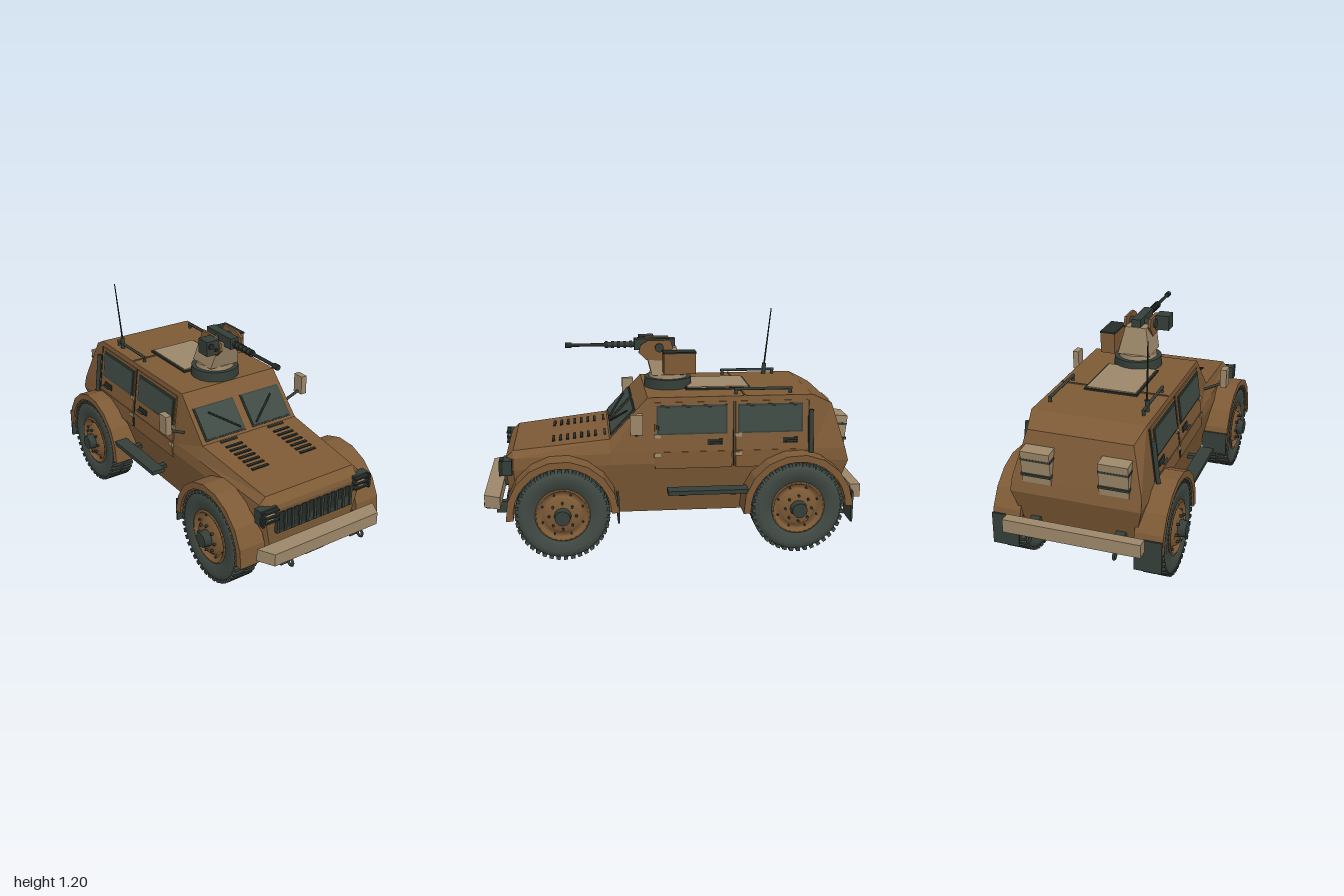
import * as THREE from 'three';

const mat = (name, color) => Object.assign(new THREE.MeshStandardMaterial({ color }), { name });

export function createModel() {
  const root = new THREE.Group();
  root.name = 'armouredPatrolCar';
  const brown = mat('desert brown', 0x7d5a36);
  const tan = mat('tan', 0x9c8769);
  const dark = mat('dark green grey', 0x353e38);
  const glass = mat('window glass', 0x3f4a44);
  const rubber = mat('tyre rubber', 0x414a44);
  const black = mat('gunmetal', 0x262c28);

  const add = (name, geo, m, x = 0, y = 0, z = 0, rx = 0, ry = 0, rz = 0, parent = root) => {
    const mesh = new THREE.Mesh(geo, m);
    mesh.name = name;
    mesh.position.set(x, y, z);
    mesh.rotation.set(rx, ry, rz);
    parent.add(mesh);
    return mesh;
  };
  const box = (name, m, w, h, d, ...place) => add(name, new THREE.BoxGeometry(w, h, d), m, ...place);
  const cyl = (r0, r1, h, n = 16) => new THREE.CylinderGeometry(r0, r1, h, n);
  const rod = (name, m, a, b, r, r2 = r, n = 8) => {
    const p = new THREE.Vector3(...a), q = new THREE.Vector3(...b), dir = q.clone().sub(p);
    const mesh = add(name, cyl(r2, r, dir.length(), n), m);
    mesh.position.copy(p).add(q).multiplyScalar(0.5);
    mesh.quaternion.setFromUnitVectors(new THREE.Vector3(0, 1, 0), dir.normalize());
  };
  // Extrude a (z, y) outline across the width, from x0 to x1
  const acrossX = (pts, x0, x1) => {
    const g = new THREE.ExtrudeGeometry(new THREE.Shape(pts.map(p => new THREE.Vector2(...p))),
      { depth: x1 - x0, bevelEnabled: false });
    return g.rotateY(-Math.PI / 2).translate(x1, 0, 0);
  };

  // Hull: rings from nose to tail; each lists bottom, waist, shoulder and top as [x, y, z]
  const rings = [
    [[.26, .28, .865], [.29, .42, .875], [.285, .49, .885], [.27, .515, .88]],
    [[.28, .205, .82], [.315, .46, .84], [.31, .52, .84], [.275, .555, .84]],
    [[.28, .2, .34], [.335, .48, .34], [.33, .54, .34], [.3, .61, .34]],
    [[.28, .2, .14], [.335, .48, .14], [.33, .54, .14], [.295, .825, .14]],
    [[.28, .2, -.73], [.335, .48, -.73], [.33, .54, -.73], [.295, .825, -.73]],
    [[.28, .25, -.86], [.335, .47, -.925], [.33, .54, -.907], [.27, .77, -.84]],
  ].map(r => [...r, ...r.map(([x, y, z]) => [-x, y, z]).reverse()]);
  const verts = [];
  const quad = (a, b, c, d) => verts.push(...a, ...b, ...c, ...a, ...c, ...d);
  for (let i = 0; i < rings.length - 1; i++) {
    for (let k = 0; k < 8; k++) {
      const n = (k + 1) % 8;
      quad(rings[i][k], rings[i + 1][k], rings[i + 1][n], rings[i][n]);
    }
  }
  const nose = rings[0], tail = rings[rings.length - 1];
  for (let k = 0; k < 3; k++) {
    quad(nose[k], nose[k + 1], nose[6 - k], nose[7 - k]);
    quad(tail[7 - k], tail[6 - k], tail[k + 1], tail[k]);
  }
  const hull = new THREE.BufferGeometry();
  hull.setAttribute('position', new THREE.Float32BufferAttribute(verts, 3));
  hull.computeVertexNormals();
  add('hull', hull, brown);

  // Wheels: tyre turned around the axle, tread lugs, rim, hub and bolts
  const tyreGeo = new THREE.LatheGeometry([[.14, -.06], [.2, -.068], [.228, -.062], [.236, -.045], [.236, .045],
    [.228, .062], [.2, .068], [.14, .06], [.135, .03], [.135, -.05], [.14, -.06]].map(p => new THREE.Vector2(...p)), 40);
  const rimGeo = new THREE.LatheGeometry([[0, -.02], [.14, -.02], [.142, .062], [.13, .066], [.122, .045],
    [.1, .045], [.085, .07], [0, .075]].map(p => new THREE.Vector2(...p)), 32);
  const wheel = (s, z) => {
    const g = new THREE.Group();
    g.name = 'wheel';
    g.position.set(s * .368, .246, z);
    g.rotation.z = -s * Math.PI / 2;
    root.add(g);
    add('tyre', tyreGeo, rubber, 0, 0, 0, 0, 0, 0, g);
    add('rim', rimGeo, brown, 0, 0, 0, 0, 0, 0, g).material.side = THREE.DoubleSide;
    for (let i = 0; i < 40; i++) {
      for (const side of [-1, 1]) {
        const a = (i + side * .25) * Math.PI / 20;
        box('treadLug', rubber, .018, .06, .021, Math.cos(a) * .235, side * .037, -Math.sin(a) * .235, 0, a, 0, g);
      }
    }
    add('hub', cyl(.04, .046, .05, 12), dark, 0, .088, 0, 0, 0, 0, g);
    for (let i = 0; i < 8; i++) {
      const a = i * Math.PI / 4;
      add('bolt', cyl(.007, .007, .014, 6), dark, Math.cos(a) * .07, .078, Math.sin(a) * .07, 0, 0, 0, g);
      add('rimBolt', cyl(.006, .006, .012, 6), dark, Math.cos(a + .4) * .112, .048, Math.sin(a + .4) * .112, 0, 0, 0, g);
    }
  };

  // Arched wheel guard outline around a wheel at z
  const archPts = z => {
    const arc = (r, n, a) => Array.from({ length: n + 1 }, (_, i) =>
      [z + Math.cos(a(i / n)) * r, .247 + Math.sin(a(i / n)) * r]);
    return [...arc(.29, 9, t => -.08 + t * (Math.PI + .06)), ...arc(.252, 16, t => Math.PI - .02 - t * (Math.PI + .06))];
  };
  const wallX = y => .33 - .035 * (y - .54) / .285;
  const tilt = .122;

  for (const s of [-1, 1]) {
    const [lo, hi] = s > 0 ? [.295, .44] : [-.44, -.295];
    for (const z of [.59, -.64]) {
      wheel(s, z);
      add('wheelGuard', acrossX(archPts(z), lo, hi), brown);
    }
    box('mudFlap', dark, .14, .13, .01, s * .37, .26, .302);
    box('mudFlap', dark, .14, .17, .01, s * .37, .245, -.928);

    // Doors, windows and handles on the leaning side walls
    const plate = (name, m, z0, z1, y0, y1, off, t) => {
      const y = (y0 + y1) / 2;
      box(name, m, t, y1 - y0, z1 - z0, s * (wallX(y) + off), y, (z0 + z1) / 2, 0, 0, s * tilt);
    };
    for (const [z0, z1] of [[-.3, .105], [-.7, -.32]]) {
      plate('door', brown, z0, z1, .54, .8, 0, .014);
      box('doorLower', brown, .014, .09, z1 - z0, s * .333, .497, (z0 + z1) / 2);
      plate('windowFrame', dark, z0 + .025, z1 - .01, .632, .785, .007, .008);
      plate('sideWindow', glass, z0 + .035, z1 - .02, .642, .775, .011, .008);
      plate('handlePlate', black, z0 + .05, z0 + .13, .575, .605, .006, .014);
      rod('doorHandle', dark, [s * .352, .59, z0 + .06], [s * .352, .59, z0 + .12], .006);
      for (const y of [.515, .615]) plate('hinge', tan, z1 - .03, z1 + .005, y, y + .02, .008, .012);
      plate('doorSeam', black, z0 - .012, z0 - .006, .46, .8, .002, .008);
    }
    rod('grabRail', dark, [s * .352, .525, -.718], [s * .325, .75, -.718], .012);

    // Side step with brackets
    box('sideStep', dark, .075, .022, .42, s * .392, .345, -.165);
    for (const z of [-.3, -.03]) box('stepBracket', dark, .1, .02, .03, s * .345, .328, z);

    // Mirror
    box('mirror', tan, .034, .105, .065, s * .438, .722, .207);
    rod('mirrorArm', dark, [s * .325, .635, .2], [s * .43, .685, .21], .008);

    // Windscreen pane, wiper and vent
    const slope = -.749;
    box('windscreenFrame', dark, .25, .186, .008, s * .148, .69, .268, slope);
    box('windscreen', glass, .236, .172, .008, s * .148, .693, .271, slope);
    rod('wiper', black, [s * .05, .645, .327], [s * .2, .735, .243], .005);
    box('cowlVent', dark, .1, .025, .012, s * .152, .603, .36, .11);
    for (let i = 0; i < 7; i++) {
      const z = .41 + i * .037;
      box('bonnetLouvre', black, .1, .012, .014, s * .152, .555 + (.84 - z) * .11, z, .11);
    }

    // Headlamp with guard bars
    box('headlampHousing', dark, .1, .08, .045, s * .29, .478, .868);
    add('headlamp', cyl(.027, .027, .015, 16), tan, s * .285, .478, .893, Math.PI / 2);
    for (const y of [.452, .478, .507]) box('headlampBar', black, .1, .009, .02, s * .29, y, .902);
    box('headlampPost', black, .012, .08, .03, s * .333, .478, .897);

    // Bumper mounts, tow hooks and rear stowage boxes
    box('bumperMount', dark, .045, .06, .14, s * .222, .235, .87);
    box('bumperMountRear', dark, .05, .05, .12, s * .222, .3, -.9);
    add('towHook', new THREE.TorusGeometry(.018, .007, 6, 12), dark, s * .222, .245, .985, 0, Math.PI / 2);
    add('towHookRear', new THREE.TorusGeometry(.018, .007, 6, 12), dark, s * .222, .25, -.98, 0, Math.PI / 2);
    box('stowageBox', tan, .15, .17, .075, s * .197, .615, -.884, -.1);
    for (const y of [.575, .655]) box('stowageStrap', dark, .156, .012, .08, s * .197, y, -.886, -.1);

    // Roof rail
    rod('roofRail', dark, [s * .243, .85, -.63], [s * .243, .85, -.32], .008);
    for (const z of [-.62, -.33]) rod('railPost', dark, [s * .243, .82, z], [s * .243, .85, z], .009);
  }

  // Grille: slots above a solid lower frame
  box('grilleFrame', dark, .46, .055, .02, 0, .382, .876);
  for (let i = 0; i < 10; i++) box('grilleSlot', black, .026, .105, .016, -.207 + i * .046, .42, .878);
  for (let i = 0; i < 11; i++) box('grilleBar', dark, .014, .11, .026, -.23 + i * .046, .415, .88);

  // Bumpers: tapered front beam and plain rear beam
  const beam = new THREE.ExtrudeGeometry(new THREE.Shape([[-.37, -.91], [-.325, -.995], [.325, -.995], [.37, -.91]]
    .map(p => new THREE.Vector2(...p))), { depth: .066, bevelEnabled: false }).rotateX(-Math.PI / 2);
  add('frontBumper', beam, tan, 0, .266, 0);
  box('rearBumper', tan, .71, .07, .055, 0, .305, -.965);
  box('winch', black, .12, .06, .08, 0, .205, .86);

  // Underbody
  for (const z of [.59, -.64]) {
    rod('axle', dark, [-.33, .246, z], [.33, .246, z], .035, .035, 12);
    add('differential', new THREE.SphereGeometry(.065, 14, 10), dark, 0, .235, z);
  }
  box('underbodyHatch', dark, .1, .012, .08, -.1, .197, -.25);

  // Roof hatch and antenna
  box('hatchFrame', black, .285, .012, .35, 0, .828, -.252);
  box('roofHatch', tan, .265, .016, .33, 0, .832, -.252);
  box('roofSeam', brown, .58, .006, .008, 0, .827, -.37);
  rod('antennaBase', dark, [-.245, .82, -.57], [-.245, .885, -.574], .012);
  rod('antenna', black, [-.245, .88, -.574], [-.26, 1.2, -.61], .005, .003);

  // Turret: ring, collar, pedestal and gun cradle
  add('turretRing', cyl(.127, .13, .055, 28), dark, 0, .85, .008);
  add('turretCollar', cyl(.1, .104, .025, 28), tan, 0, .888, .008);
  const pedestal = new THREE.BoxGeometry(1, .145, 1);
  const pp = pedestal.attributes.position;
  for (let i = 0; i < pp.count; i++) {
    const top = pp.getY(i) > 0;
    pp.setX(i, pp.getX(i) * (top ? .115 : .178));
    pp.setZ(i, pp.getZ(i) > 0 ? (top ? .12 : .085) : (top ? -.05 : -.085));
  }
  pedestal.computeVertexNormals();
  add('pedestal', pedestal, tan, 0, .97, .015);
  for (const s of [-1, 1]) {
    const x = s * .068;
    add('cradlePlate', acrossX([[.17, 1.02], [.16, 1.06], [.12, 1.085], [.0, 1.085], [-.015, 1.04], [.04, .975], [.13, .98]],
      x - .007, x + .007), brown);
    rod('trunnion', dark, [s * .02, 1.045, .06], [s * .085, 1.045, .06], .024, .024, 12);
  }
  box('ammoBox', brown, .078, .11, .17, .125, .972, -.042);
  box('ammoBoxLid', black, .084, .008, .176, .125, 1.03, -.042);
  box('sightBox', dark, .075, .08, .08, -.112, 1.043, .118);
  for (const [x, y, r] of [[-.125, 1.055, .016], [-.095, 1.03, .009]])
    add('sightLens', cyl(r, r, .01), black, x, y, .16, Math.PI / 2);
  box('gunReceiver', dark, .05, .06, .22, 0, 1.055, .08);
  rod('gunJacket', dark, [0, 1.053, .19], [0, 1.053, .35], .015, .015, 12);
  for (let i = 0; i < 5; i++) rod('coolingRing', black, [0, 1.053, .2 + i * .033], [0, 1.053, .215 + i * .033], .019, .019, 12);
  rod('gunBarrel', black, [0, 1.053, .34], [0, 1.053, .55], .009, .009, 10);
  rod('muzzle', black, [0, 1.053, .525], [0, 1.053, .56], .015, .015, 10);

  return root;
}
